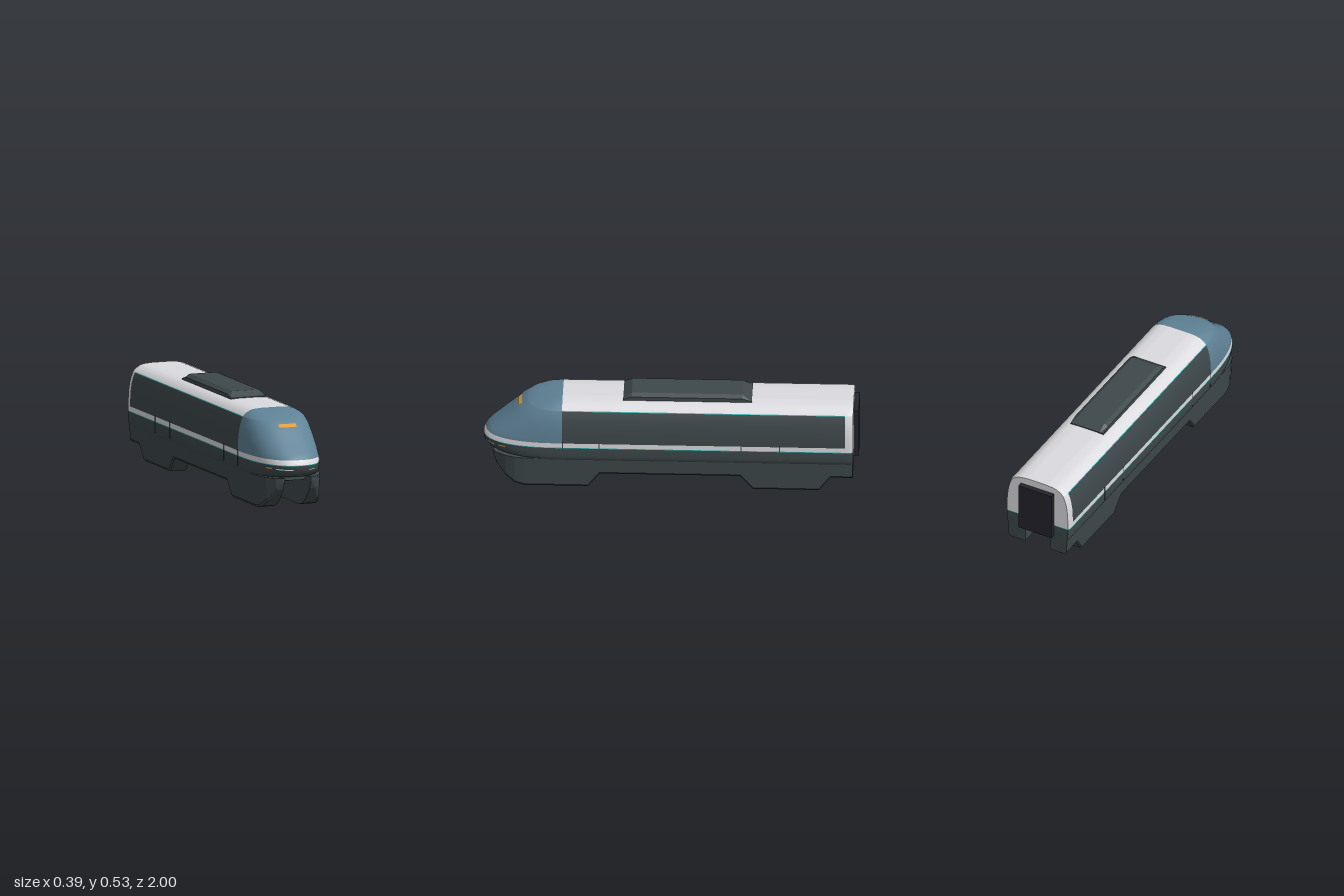
import * as THREE from 'three';

const mat = (name, color) => {
  const m = new THREE.MeshStandardMaterial({ color });
  m.name = name;
  return m;
};

// Body levels: height, half-width, furthest nose z
const LEVELS = [
  [0.17, 0.182, 0.90], [0.18, 0.188, 0.95], [0.195, 0.191, 0.98], [0.22, 0.192, 0.997],
  [0.245, 0.192, 1.0], [0.249, 0.192, 1.0], [0.275, 0.192, 0.988], [0.30, 0.192, 0.963],
  [0.33, 0.191, 0.925], [0.36, 0.189, 0.89], [0.40, 0.183, 0.842], [0.43, 0.175, 0.81],
  [0.455, 0.165, 0.77], [0.459, 0.163, 0.763], [0.475, 0.147, 0.722], [0.488, 0.124, 0.66],
  [0.494, 0.10, 0.615], [0.497, 0.06, 0.582],
];
const NOSE_START = 0.578, REAR = -0.972, POWER = 2.5;

// Half-width and nose length at any height
function levelAt(y) {
  let i = 0;
  while (i < LEVELS.length - 2 && LEVELS[i + 1][0] < y) i++;
  const a = LEVELS[i], b = LEVELS[i + 1], t = (y - a[0]) / (b[0] - a[0]);
  return [a[1] + (b[1] - a[1]) * t, a[2] + (b[2] - a[2]) * t];
}

// Plan outline of one level, from the rear on -x round the nose to the rear on +x
function outline([y, w, nose]) {
  const side = [[w - 0.007, REAR], [w, REAR + 0.014], [w, -0.93], [w, -0.4], [w, 0.1], [w, 0.5]];
  const steps = 14;
  for (let k = 0; k < steps; k++) {
    const a = (k / steps) * Math.PI / 2;
    side.push([w * Math.cos(a) ** (2 / POWER),
      NOSE_START + (nose - NOSE_START) * Math.sin(a) ** (2 / POWER)]);
  }
  const left = side.map(([x, z]) => new THREE.Vector3(x, y, z));
  const right = left.map((p) => new THREE.Vector3(-p.x, y, p.z));
  return [...right, new THREE.Vector3(0, y, nose), ...left.reverse()];
}

// Mesh over a grid of points; pick chooses a material for each cell
function gridMesh(name, rows, materials, pick = () => 0, flat = false) {
  const n = rows[0].length, buckets = materials.map(() => []);
  for (let i = 0; i < rows.length - 1; i++) {
    for (let j = 0; j < n - 1; j++) {
      const a = i * n + j, b = a + 1, c = b + n, d = a + n;
      buckets[pick(i, j)].push(a, b, c, a, c, d);
    }
  }
  let geo = new THREE.BufferGeometry().setFromPoints(rows.flat());
  geo.setIndex(buckets.flat());
  if (flat) geo = geo.toNonIndexed();
  geo.computeVertexNormals();
  let start = 0;
  buckets.forEach((b, m) => {
    if (b.length) geo.addGroup(start, b.length, m);
    start += b.length;
  });
  const mesh = new THREE.Mesh(geo, materials);
  mesh.name = name;
  return mesh;
}

// Closed faceted solid from sections [z, [[x, y], ...]] listed from rear to front
function loft(name, sections, material) {
  const rows = sections.map(([z, pts]) =>
    [...pts, pts[0]].map(([x, y]) => new THREE.Vector3(x, y, z)));
  const cap = (row) => {
    const c = new THREE.Vector3();
    row.slice(1).forEach((p) => c.add(p));
    c.divideScalar(row.length - 1);
    return row.map(() => c.clone());
  };
  const all = [cap(rows[0]), ...rows, cap(rows[rows.length - 1])];
  const mesh = gridMesh(name, all, [material], undefined, true);
  mesh.geometry.clearGroups();
  mesh.material = material;
  return mesh;
}

export function createModel() {
  const train = new THREE.Group();
  train.name = 'monorailCar';
  const dark = mat('slate grey', 0x3e484b);
  const white = mat('off white', 0xdcdce0);
  const teal = mat('teal', 0x2fb5b5);
  const glass = mat('blue glass', 0x5f8296);
  const amber = mat('amber', 0xe09c30);
  const black = mat('near black', 0x25242c);
  const paint = [dark, white, teal, glass];

  // Body shell with its colour bands
  const rows = LEVELS.map(outline);
  const n = rows[0].length;
  const band = (i) => {
    const y = (LEVELS[i][0] + LEVELS[i + 1][0]) / 2;
    if (y < 0.245) return 'hull';
    if (y < 0.249) return 'line';
    if (y < 0.275) return 'stripe';
    if (y < 0.455) return 'window';
    return y < 0.459 ? 'topLine' : 'roof';
  };
  train.add(gridMesh('bodyShell', rows, paint, (i, j) => {
    const k = Math.min(j, n - 2 - j), b = band(i);
    if (b === 'hull') return 0;
    if (b === 'line') return 2;
    if (b === 'stripe') return 1;
    if (k >= 6) return 3;
    if (b === 'window') return k >= 2 ? 0 : 1;
    return b === 'topLine' && k >= 2 ? 2 : 1;
  }));

  // Flat roof, floor and rear wall
  const pairs = (row) => row.slice(0, (n + 1) / 2).map((p, k) => [p, row[n - 1 - k]]);
  train.add(gridMesh('roofTop', pairs(rows[rows.length - 1]).reverse(), paint,
    (i) => ((n + 1) / 2 - 2 - i >= 6 ? 3 : 1)));
  train.add(gridMesh('bodyUnderside', pairs(rows[0]), [dark]));
  train.add(gridMesh('rearWall', rows.map((r) => [r[n - 1], r[0]]), paint,
    (i) => ({ hull: 0, line: 2 }[band(i)] ?? 1)));

  const box = (name, w, h, d, x, y, z, m) => {
    const mesh = new THREE.Mesh(new THREE.BoxGeometry(w, h, d), m);
    mesh.position.set(x, y, z);
    mesh.name = name;
    train.add(mesh);
  };
  box('rearGangway', 0.2, 0.275, 0.035, 0, 0.318, -0.9825, black);
  box('channelCeiling', 0.152, 0.024, 1.83, 0, 0.16, -0.045, dark);
  for (const z of [0.6, -0.6]) box('guideUnit', 0.085, 0.025, 0.36, 0, 0.1425, z, black);

  // Side skirts straddling the rail: z, bottom height, outer half-width
  const stations = [
    [-0.97, 0.08, 0.18], [-0.85, 0.08, 0.18], [-0.79, 0, 0.18], [-0.44, 0, 0.18],
    [-0.37, 0.08, 0.18], [0.38, 0.08, 0.18], [0.44, 0, 0.18], [0.78, 0, 0.18],
    [0.83, 0.012, 0.173], [0.88, 0.05, 0.155], [0.93, 0.11, 0.12], [0.948, 0.15, 0.09],
  ];
  for (const s of [1, -1]) {
    train.add(loft('sideSkirt', stations.map(([z, yb, w]) => {
      const lower = w - (0.172 - yb) * 0.05;
      const pts = [[0.075, 0.175], [0.075, yb], [lower - 0.01, yb], [lower, yb + 0.012], [w, 0.175]];
      return [z, s > 0 ? pts : pts.map(([x, y]) => [-x, y]).reverse()];
    }), dark));
    // Door seams
    for (const z of [0.575, 0.38, -0.375, -0.58]) {
      box('doorSeam', 0.004, 0.09, 0.005, s * 0.1915, 0.235, z, dark);
    }
  }

  // Roof equipment pod with sloped ends
  train.add(loft('roofPod', [[-0.43, 0.501], [-0.38, 0.53], [0.21, 0.53], [0.255, 0.501]]
    .map(([z, top]) => {
      const mid = Math.min(0.515, top - 0.001);
      return [z, [[-0.1, 0.49], [0.1, 0.49], [0.1, mid], [0.077, top], [-0.077, top], [-0.1, mid]]];
    }), dark));

  // Thin lamps that follow the nose surface
  const noseZ = (x, y) => {
    const [w, nose] = levelAt(y);
    return NOSE_START + (nose - NOSE_START) * (1 - (Math.abs(x) / w) ** POWER) ** (1 / POWER);
  };
  const lamp = (name, x0, x1, low, high, m) => {
    const grid = [0, 0.5, 1].map((v) => Array.from({ length: 9 }, (_, k) => {
      const t = k / 8, x = x0 + (x1 - x0) * t;
      const y = low(t) + (high(t) - low(t)) * v;
      return new THREE.Vector3(x, y, noseZ(x, y) + 0.005);
    }));
    train.add(gridMesh(name, grid, [m]));
  };
  lamp('destinationLamp', -0.05, 0.05, () => 0.426, () => 0.441, amber);
  lamp('leftHeadlight', 0.042, 0.123, (t) => 0.221 + 0.002 * t, (t) => 0.225 + 0.004 * t, white);
  lamp('rightHeadlight', -0.123, -0.042, (t) => 0.223 - 0.002 * t, (t) => 0.229 - 0.004 * t, white);
  lamp('leftIndicator', 0.137, 0.154, () => 0.225, () => 0.231, amber);
  lamp('rightIndicator', -0.154, -0.137, () => 0.225, () => 0.231, amber);

  return train;
}
